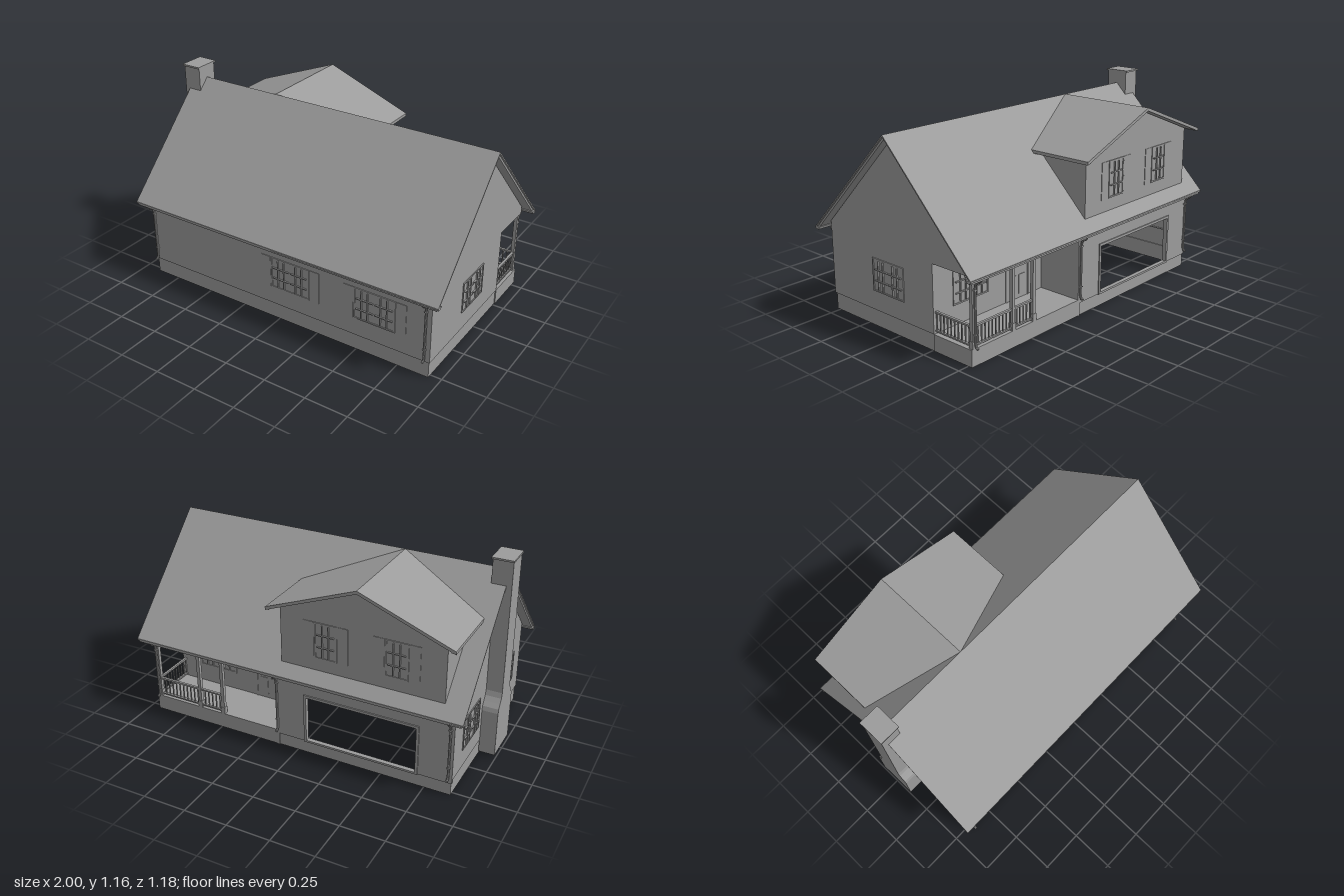
import * as THREE from 'three';

const mat = new THREE.MeshStandardMaterial({ color: 0x9c9c9c, side: THREE.DoubleSide, flatShading: true });

export function createModel() {
  const house = new THREE.Group();
  house.name = 'house';

  const add = (name, geo, parent = house) => {
    const m = new THREE.Mesh(geo, mat);
    m.name = name;
    parent.add(m);
    return m;
  };
  // Box given by its min and max on each axis
  const box = (name, x0, x1, y0, y1, z0, z1, parent = house) => {
    const m = add(name, new THREE.BoxGeometry(x1 - x0, y1 - y0, z1 - z0), parent);
    m.position.set((x0 + x1) / 2, (y0 + y1) / 2, (z0 + z1) / 2);
    return m;
  };
  const shapeOf = (pts) => new THREE.Shape(pts.map((p) => new THREE.Vector2(...p)));
  // Outline in (x, y), extruded from z0 to z1
  const alongZ = (name, shape, z0, z1) => {
    const geo = new THREE.ExtrudeGeometry(shape, { depth: z1 - z0, bevelEnabled: false });
    return add(name, geo.translate(0, 0, z0));
  };
  // Outline in (z, y), extruded from x0 to x1
  const alongX = (name, pts, x0, x1) => {
    const geo = new THREE.ExtrudeGeometry(shapeOf(pts.map(([z, y]) => [-z, y])), { depth: x1 - x0, bevelEnabled: false });
    return add(name, geo.rotateY(Math.PI / 2).translate(x0, 0, 0));
  };

  const L = -0.905, R = 0.94, D = 0.53, T = 0.015, FOUND = 0.095, CEIL = 0.47;
  const PX = 0.13, PZ = -0.265; // inner corner of the porch

  // Foundation, open underneath
  const inset = 0.006;
  box('foundationFront', L + inset, R - inset, 0, FOUND, D - T - inset, D - inset);
  box('foundationLeft', R - T - inset, R - inset, 0, FOUND, PZ, D - inset);
  box('foundationRight', L + inset, L + T + inset, 0, FOUND, -D + inset, D - inset);
  box('foundationBack', L + inset, PX, 0, 0.075, -D + inset, -D + T + inset);

  // Long walls, with the garage opening at the back
  box('frontWall', L, R, FOUND, 0.515, D - T, D);
  const back = shapeOf([[L, 0.075], [PX, 0.075], [PX, 0.515], [L, 0.515]]);
  back.holes.push(new THREE.Path([[-0.70, 0.085], [-0.70, 0.355], [-0.06, 0.355], [-0.06, 0.085]].map((p) => new THREE.Vector2(...p))));
  alongZ('backWall', back, -D, -D + T);
  box('garageFrameTop', -0.715, -0.045, 0.355, 0.37, -D - 0.006, -D + 0.02);
  box('garageFrameBottom', -0.715, -0.045, 0.073, 0.085, -D - 0.006, -D + 0.02);
  for (const x of [-0.715, -0.06]) box('garageFrameSide', x, x + 0.015, 0.085, 0.355, -D - 0.006, -D + 0.02);

  // Gable walls; the left one is cut away for the porch
  alongX('rightGable', [[-D, FOUND], [D, FOUND], [D, 0.512], [0, 1.052], [-D, 0.512]], L, L + T);
  alongX('leftGable', [[PZ, FOUND], [D, FOUND], [D, 0.512], [0, 1.052], [-D, 0.512], [-D, CEIL], [PZ, CEIL]], R - T, R);
  box('ceiling', L + T, R - T, CEIL - 0.005, CEIL + 0.005, -D + 0.002, D - T);

  // Main roof: thin covering over a slightly shorter deck
  const chevron = (half, top, eave, t, c = 0) => [[c - half, eave], [c, top], [c + half, eave], [c + half, eave - t], [c, top - t], [c - half, eave - t]];
  alongX('roofCovering', chevron(0.59, 1.08, 0.483, 0.01), -0.965, 1);
  alongX('roofDeck', chevron(0.585, 1.07, 0.478, 0.016), -0.955, 0.99);
  for (const s of [-1, 1]) {
    alongX('gutter', [[s * 0.592, 0.483], [s * 0.585, 0.468], [s * 0.563, 0.468], [s * 0.556, 0.483]], -0.965, 1);
  }

  // Dormer, running back into the main roof
  const DC = -0.382;
  alongZ('dormerBody', shapeOf([[-0.845, 0.5], [0.085, 0.5], [0.085, 0.88], [DC, 1.06], [-0.845, 0.88]]), -D, -0.03);
  alongZ('dormerRoof', shapeOf(chevron(0.523, 1.08, 0.878, 0.018, DC)), -0.587, 0);
  for (const s of [-1, 1]) {
    const x = DC + s * 0.511;
    box('dormerGutter', x - 0.012, x + 0.012, 0.865, 0.877, -0.587, -0.2);
  }

  // Chimney: wide base, curved shoulders, narrow stack and cap
  const side = [[0.113, 0.02], [0.113, 0.285], [0.107, 0.31], [0.09, 0.335], [0.074, 0.36], [0.066, 0.39], [0.066, 1.15]];
  alongX('chimney', [...side, ...side.map(([z, y]) => [-z, y]).reverse()], -0.995, L + 0.002);
  box('chimneyInnerStack', L, -0.885, 0.02, 1.15, -0.066, 0.066);
  box('chimneyCap', -1, -0.88, 1.15, 1.16, -0.077, 0.077);

  // Window with casing, pane and glazing bars, facing its own +z
  const windowAt = (x, y, z, turn, w, h, sashes, shutters = false) => {
    const g = new THREE.Group();
    g.name = 'window';
    box('pane', -w / 2, w / 2, -h / 2, h / 2, -0.026, 0.001, g);
    for (const s of [-1, 1]) {
      const cx = s * (w / 2 - 0.004), cy = s * (h / 2 - 0.004);
      box('casingSide', cx - 0.004, cx + 0.004, -h / 2, h / 2, -0.03, 0.005, g);
      box('casingRail', -w / 2, w / 2, cy - 0.004, cy + 0.004, -0.03, 0.005, g);
      if (shutters) {
        const sx = s * (w / 2 + 0.033);
        box('shutter', sx - 0.03, sx + 0.03, -h / 2, h / 2, -0.004, 0.003, g);
      }
    }
    const sw = (w - 0.02) / sashes;
    for (let i = 0; i < sashes; i++) {
      const c = (i - (sashes - 1) / 2) * sw, half = sw / 2 - 0.006;
      for (const s of [-1, 1]) {
        const bx = c + s * sw / 6, by = s * h / 6;
        box('glazingBar', bx - 0.003, bx + 0.003, -h / 2 + 0.012, h / 2 - 0.012, 0, 0.009, g);
        box('glazingBar', c - half, c + half, by - 0.003, by + 0.003, 0, 0.009, g);
      }
    }
    g.position.set(x, y, z);
    g.rotation.y = turn;
    house.add(g);
  };
  const H = Math.PI / 2;
  for (const x of [0.08, 0.61]) windowAt(x, 0.297, D, 0, 0.25, 0.19, 2, true);
  windowAt(R, 0.297, 0.07, H, 0.24, 0.185, 2);
  for (const z of [-0.28, 0.29]) windowAt(L, 0.297, z, -H, 0.24, 0.185, 2);
  for (const x of [-0.18, -0.58]) windowAt(x, 0.72, -D, Math.PI, 0.13, 0.21, 1, true);
  windowAt(0.68, 0.297, PZ, Math.PI, 0.25, 0.185, 2);

  // Porch shell: recessed walls, closed base and header
  box('porchBackWall', PX, R, FOUND, CEIL, PZ, PZ + T);
  box('porchSideWall', PX - T, PX, 0, CEIL, -D, PZ + T);
  box('porchBase', PX, R, 0.003, FOUND, -D, PZ);
  box('porchHeader', PX, R, CEIL, 0.512, -D, -D + T);

  // Front door under the porch
  box('door', 0.25, 0.41, FOUND, 0.41, PZ - 0.002, PZ);
  for (const x of [0.24, 0.41]) box('doorCasingSide', x, x + 0.01, FOUND, 0.42, PZ - 0.005, PZ);
  box('doorCasingTop', 0.25, 0.41, 0.41, 0.42, PZ - 0.005, PZ);
  for (const x of [0.27, 0.34]) {
    for (const [y, h] of [[0.12, 0.11], [0.26, 0.12]]) box('doorPanel', x, x + 0.05, y, y + h, PZ - 0.005, PZ);
  }

  // Porch posts and railings
  for (const x of [0.92, 0.64, 0.485]) {
    box('porchPost', x - 0.01, x + 0.01, FOUND, CEIL, -D + 0.002, -D + 0.022);
    box('postFoot', x - 0.013, x + 0.013, FOUND, 0.135, -D, -D + 0.026);
  }
  for (const [y0, y1] of [[0.106, 0.114], [0.205, 0.215]]) {
    box('railBack', 0.485, 0.92, y0, y1, -0.525, -0.511);
    box('railLeft', 0.914, 0.928, y0, y1, -0.52, PZ);
  }
  for (let x = 0.51; x < 0.91; x += 0.025) box('baluster', x - 0.003, x + 0.003, 0.11, 0.21, -0.521, -0.515);
  for (let z = -0.495; z < PZ; z += 0.025) box('baluster', 0.918, 0.924, 0.11, 0.21, z - 0.003, z + 0.003);

  // Downspouts curving from the gutters to the walls
  const downspout = (x, s) => {
    const pts = [[0.575, 0.475], [0.574, 0.457], [0.545, 0.435], [0.539, 0.41], [0.538, 0.25], [0.538, 0.12], [0.542, 0.107], [0.555, 0.1]];
    const curve = new THREE.CatmullRomCurve3(pts.map(([z, y]) => new THREE.Vector3(x, y, s * z)));
    add('downspout', new THREE.TubeGeometry(curve, 32, 0.007, 8));
    for (const y of [0.17, 0.4]) box('downspoutStrap', x - 0.009, x + 0.009, y, y + 0.006, s * 0.537 - 0.008, s * 0.537 + 0.008);
  };
  for (const x of [-0.885, 0.91]) downspout(x, 1);
  for (const x of [-0.885, 0.12, 0.92]) downspout(x, -1);

  return house;
}
